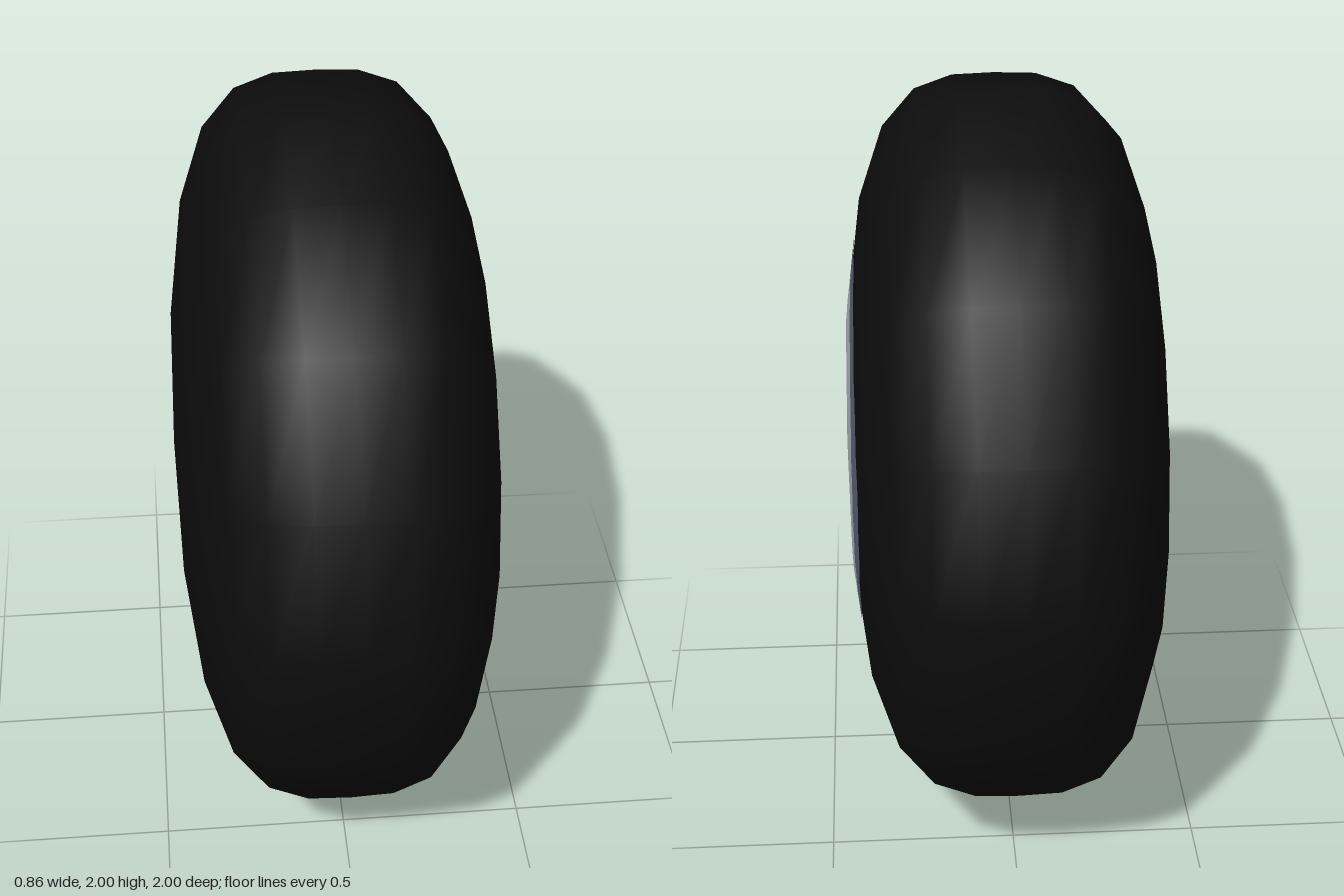
import * as THREE from 'three';

const SIDES = 16;
// Half of the tyre profile: [distance along the axle, radius]
const PROFILE = [[0, 1], [0.115, 0.996], [0.22, 0.96], [0.31, 0.86], [0.378, 0.665], [0.418, 0.36], [0.427, 0]];

// Outlines on the +x sidewall as [z, y], counter-clockwise seen from +x
const HUB = [[0.05, 1.463], [0.38, 1.33], [0.505, 1.013], [0.385, 0.70], [0.02, 0.537], [-0.294, 0.676], [-0.406, 1.013], [-0.28, 1.334]];
const RIM = [[0.03, 1.554], [0.41, 1.39], [0.576, 1.013], [0.39, 0.665], [0.04, 0.457], [-0.34, 0.61], [-0.515, 1.05], [-0.32, 1.41]];

// Height of the faceted sidewall above the wheel's middle plane
function sidewall(y, z) {
  const step = (2 * Math.PI) / SIDES;
  const angle = Math.atan2(z, y - 1);
  const fromMiddle = angle - (Math.floor(angle / step) + 0.5) * step;
  const r = Math.hypot(y - 1, z) * Math.cos(fromMiddle) / Math.cos(step / 2);
  for (let i = PROFILE.length - 1; i > 0; i--) {
    const [x0, r0] = PROFILE[i], [x1, r1] = PROFILE[i - 1];
    if (r <= r1) return x0 + (x1 - x0) * (r - r0) / (r1 - r0);
  }
  return 0;
}

function outline(points, count) {
  const curve = new THREE.CatmullRomCurve3(points.map(([z, y]) => new THREE.Vector3(0, y, z)), true);
  return Array.from({ length: count }, (_, i) => curve.getPoint(i / count));
}

// Thin skin hugging the sidewall between two outlines
function skin(inner, outer, rings) {
  const n = outer.length, positions = [], index = [];
  for (let j = 0; j <= rings; j++) {
    for (let i = 0; i < n; i++) {
      const p = inner[i].clone().lerp(outer[i], j / rings);
      positions.push(sidewall(p.y, p.z) + 0.003, p.y, p.z);
    }
  }
  for (let j = 0; j < rings; j++) {
    for (let i = 0; i < n; i++) {
      const k = (i + 1) % n;
      const a = j * n + i, b = a + n, c = (j + 1) * n + k, d = j * n + k;
      index.push(a, b, c);
      if (j > 0 || !inner[i].equals(inner[k])) index.push(a, c, d);
    }
  }
  const geometry = new THREE.BufferGeometry();
  geometry.setAttribute('position', new THREE.Float32BufferAttribute(positions, 3));
  geometry.setIndex(index);
  geometry.computeVertexNormals();
  return geometry;
}

function part(name, geometry, material) {
  const mesh = new THREE.Mesh(geometry, material);
  mesh.name = name;
  return mesh;
}

export function createModel() {
  const rubber = new THREE.MeshStandardMaterial({ color: 0x0d0d0d });
  rubber.name = 'black rubber';
  const steel = new THREE.MeshStandardMaterial({ color: 0x586176 });
  steel.name = 'blue grey rim';
  const silver = new THREE.MeshStandardMaterial({ color: 0xaeb0b7 });
  silver.name = 'silver hub';

  const wheel = new THREE.Group();
  wheel.name = 'wheel';

  // Closed, rounded tyre with its axle along x
  const mirrored = PROFILE.slice(1).reverse().map(([x, r]) => [-x, r]);
  const points = [...mirrored, ...PROFILE].map(([x, r]) => new THREE.Vector2(r, x));
  const tyre = new THREE.LatheGeometry(points, SIDES);
  tyre.rotateZ(-Math.PI / 2).translate(0, 1, 0);
  wheel.add(part('tyre', tyre, rubber));

  // Hub cap and the slightly uneven rim around it, on the left side only
  const hub = outline(HUB, 96), rim = outline(RIM, 96);
  const centre = hub.map(() => new THREE.Vector3(0, 1, 0.05));
  wheel.add(part('hubCap', skin(centre, hub, 14), silver));
  wheel.add(part('rim', skin(hub, rim, 4), steel));
  return wheel;
}
